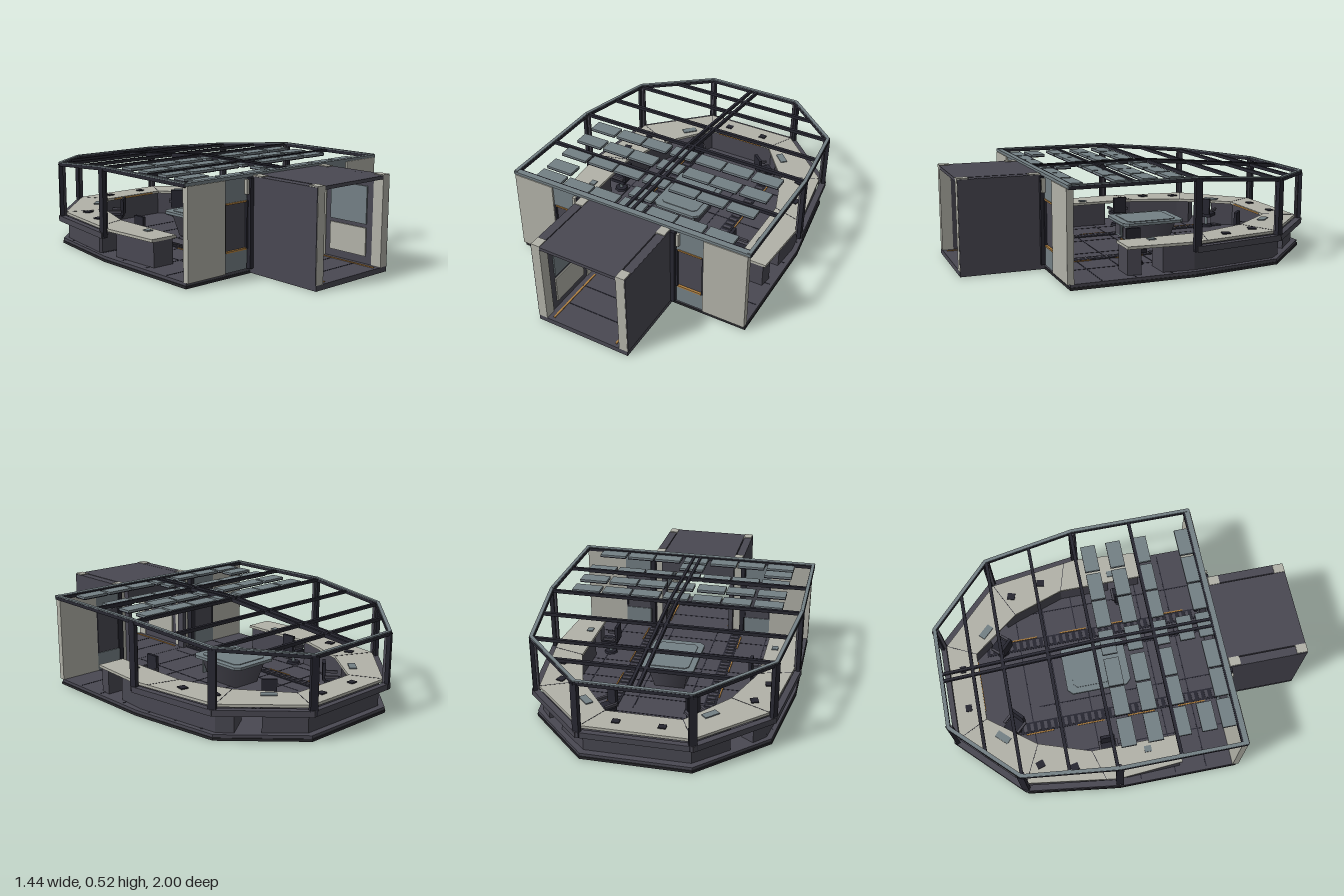
import * as THREE from 'three';

const mat = (name, color) => Object.assign(new THREE.MeshStandardMaterial({ color }), { name });

export function createModel() {
  const root = new THREE.Group();
  root.name = 'controlRoom';
  const light = mat('pale wall grey', 0xb2b2a8);
  const dark = mat('dark slate', 0x494852);
  const blue = mat('blue grey', 0x748085);
  const navy = mat('near black navy', 0x272731);
  const orange = mat('amber strip', 0xb08040);
  const under = mat('underside black', 0x28282c);

  const add = (name, geo, m, parent = root) => {
    const mesh = new THREE.Mesh(geo, m);
    mesh.name = name;
    parent.add(mesh);
    return mesh;
  };
  // box given by its min and max on each axis
  const box = (name, m, x0, x1, y0, y1, z0, z1, parent = root) => {
    const b = add(name, new THREE.BoxGeometry(x1 - x0, y1 - y0, z1 - z0), m, parent);
    b.position.set((x0 + x1) / 2, (y0 + y1) / 2, (z0 + z1) / 2);
    return b;
  };
  // the same box on both sides
  const pair = (name, m, x0, x1, ...r) => {
    box(name, m, x0, x1, ...r);
    box(name, m, -x1, -x0, ...r);
  };
  // bar between two points
  const beam = (name, m, a, b, w, h) => {
    const p = new THREE.Vector3(...a), q = new THREE.Vector3(...b);
    const bar = add(name, new THREE.BoxGeometry(w, h, p.distanceTo(q) + w * 0.4), m);
    bar.position.copy(p).lerp(q, 0.5);
    bar.lookAt(q);
    return bar;
  };
  // flat slab from a plan outline of [x, z] points
  const slab = (name, m, pts, y0, y1) => {
    const shape = new THREE.Shape(pts.map(([x, z]) => new THREE.Vector2(x, -z)));
    const geo = new THREE.ExtrudeGeometry(shape, { depth: y1 - y0, bevelEnabled: false });
    geo.rotateX(-Math.PI / 2);
    return add(name, geo.translate(0, y0, 0), m);
  };
  const flip = (pts) => pts.map(([x, z]) => [-x, z]);
  const mirrorLoop = (pts) => [...pts, ...flip(pts).reverse()];

  // hull plan, +x half, from the entrance to the nose
  const hull = [[0.7, 0.55], [0.7, -0.13], [0.63, -0.645], [0.287, -0.985]];
  const roofY = (z) => (z > -0.14 ? 0.508 : 0.508 - (-0.14 - z) * 0.09);
  const halfWidth = (z) => {
    for (let i = 1; i < hull.length; i++) {
      const [x0, z0] = hull[i - 1], [x1, z1] = hull[i];
      if (z >= z1) return x0 + (x1 - x0) * (z0 - z) / (z0 - z1);
    }
    return 0.287;
  };

  // floor
  slab('floorBase', under, mirrorLoop(hull), 0, 0.014);
  slab('floorDeck', dark, mirrorLoop(hull.map(([x, z]) => [x * 0.995, z * 0.995])), 0.014, 0.03);
  box('corridorFloor', dark, -0.27, 0.27, 0.002, 0.03, 0.55, 1);
  for (const z of [-0.55, -0.38, -0.2, 0, 0.2, 0.38, 0.7, 0.85]) {
    const w = z > 0.55 ? 0.2 : Math.min(0.69, halfWidth(z) - 0.02);
    box('floorSeam', navy, -w, w, 0.03, 0.0315, z - 0.003, z + 0.003);
  }
  for (const x of [0.14, 0.45]) pair('floorSeam', navy, x - 0.003, x + 0.003, 0.03, 0.0315, -0.5, 0.53);

  // floor channels with rungs
  pair('channel', navy, 0.225, 0.29, 0.03, 0.033, -0.75, 0.53);
  for (let z = -0.73; z < 0.52; z += 0.04) pair('channelRung', dark, 0.235, 0.28, 0.033, 0.037, z, z + 0.018);
  for (const z of [-0.6, -0.3, 0, 0.3]) pair('channelStrip', orange, 0.291, 0.298, 0.03, 0.035, z, z + 0.16);
  pair('corridorStrip', orange, 0.185, 0.195, 0.03, 0.034, 0.6, 0.98);

  // entrance wall
  pair('wallPanel', light, 0.457, 0.7, 0.03, 0.505, 0.53, 0.565);
  pair('doorPanelTop', blue, 0.3, 0.457, 0.385, 0.505, 0.53, 0.555);
  pair('doorPanelBottom', blue, 0.3, 0.457, 0.03, 0.135, 0.53, 0.555);
  pair('doorWindow', dark, 0.3, 0.457, 0.135, 0.385, 0.535, 0.546);
  pair('windowJamb', navy, 0.292, 0.305, 0.135, 0.385, 0.53, 0.558);
  pair('windowJamb', navy, 0.447, 0.457, 0.135, 0.385, 0.53, 0.558);
  for (const y of [0.132, 0.378]) pair('windowStrip', orange, 0.308, 0.445, y, y + 0.009, 0.545, 0.559);
  pair('corridorJoint', navy, 0.27, 0.295, 0.03, 0.5, 0.53, 0.575);
  pair('wallLamp', light, 0.305, 0.32, 0.42, 0.495, 0.555, 0.575);
  box('wallCap', blue, -0.71, 0.71, 0.503, 0.52, 0.53, 0.56);

  // corridor
  box('corridorRoof', dark, -0.22, 0.22, 0.49, 0.508, 0.56, 1);
  pair('corridorWall', dark, 0.225, 0.272, 0.03, 0.507, 0.625, 0.94);
  pair('corridorSkin', dark, 0.268, 0.273, 0.03, 0.506, 0.565, 0.998);
  for (const z of [0.565, 0.94]) pair('corridorPillar', light, 0.22, 0.269, 0.03, 0.512, z, z + 0.06);
  pair('corridorInnerPanel', light, 0.218, 0.226, 0.07, 0.22, 0.66, 0.9);
  pair('corridorInnerPanel', blue, 0.218, 0.226, 0.24, 0.44, 0.66, 0.9);
  pair('doorJamb', dark, 0.2, 0.225, 0.03, 0.49, 0.53, 0.58);
  box('doorLintel', dark, -0.2, 0.2, 0.4, 0.5, 0.53, 0.57);
  box('lintelTrim', blue, -0.12, 0.12, 0.484, 0.49, 0.57, 0.576);

  // roof frame, posts and outer ledge
  for (const s of [1, -1]) {
    const rim = hull.map(([x, z]) => [s * (x + 0.002), roofY(z), z]);
    for (let i = 1; i < rim.length; i++) {
      beam('roofRim', navy, rim[i - 1], rim[i], 0.022, 0.018);
      const up = ([x, y, z]) => [x, y + 0.011, z];
      beam('roofRimCap', blue, up(rim[i - 1]), up(rim[i]), 0.019, 0.008);
      const [x, y, z] = rim[i];
      const post = box('post', navy, -0.011, 0.011, 0.135, y, -0.02, 0.02);
      post.position.x = x;
      post.position.z = z;
      post.rotation.y = s * [0, 0.07, 0.45, 1.15][i];
      const fin = box('postFin', dark, -0.006, 0.006, 0.15, y, -0.008, 0.008);
      fin.position.x = x * 0.975;
      fin.position.z = z * 0.985;
      if (i > 1) {
        const low = (p) => [p[0], 0.148, p[2]];
        beam('outerLedge', dark, low(rim[i - 1]), low(rim[i]), 0.034, 0.032);
      }
    }
    for (const [a, b] of [[0.54, -0.14], [-0.14, -0.985]])
      beam('spineBeam', navy, [s * 0.02, roofY(a), a], [s * 0.02, roofY(b), b], 0.015, 0.02);
  }
  beam('noseRim', navy, [-0.287, roofY(-0.985), -0.985], [0.287, roofY(-0.985), -0.985], 0.022, 0.018);
  beam('noseRimCap', blue, [-0.287, roofY(-0.985) + 0.011, -0.985], [0.287, roofY(-0.985) + 0.011, -0.985], 0.019, 0.008);
  beam('noseLedge', dark, [-0.287, 0.148, -0.985], [0.287, 0.148, -0.985], 0.03, 0.032);
  for (const z of [-0.81, -0.64, -0.39, -0.14, 0.2, 0.53])
    beam('crossBeam', navy, [-halfWidth(z), roofY(z), z], [halfWidth(z), roofY(z), z], 0.018, 0.018);

  // ceiling panels, with a sparse fourth row
  [-0.1, 0.045, 0.195, 0.335, 0.445].forEach((z, row) => {
    [-0.515, -0.34, -0.173, 0, 0.173, 0.34, 0.515].forEach((x, col) => {
      if (row === 3 && col !== 0 && col !== 3) return;
      const w = col === 3 ? 0.07 : 0.079;
      box('ceilingPanel', blue, x - w, x + w, 0.5, 0.51, z, z + 0.083);
      box('ceilingPanelFrame', navy, x - w, x + w, 0.494, 0.5, z, z + 0.083);
      if ((row + col) % 2) box('ceilingLight', orange, x - w + 0.015, x + w - 0.015, 0.491, 0.494, z + 0.012, z + 0.07);
    });
  });

  // console counter
  const outer = [[0.66, 0.235], [0.685, -0.13], [0.61, -0.64], [0.28, -0.965]];
  const inner = [[0.5, 0.235], [0.5, -0.25], [0.4, -0.54], [0.2, -0.8]];
  const half = [...outer, [0, -0.965], [0, -0.8], ...inner.slice().reverse()];
  slab('counterRight', light, half, 0.167, 0.182);
  slab('counterLeft', light, flip(half), 0.167, 0.182);

  // console cabinets with knee gaps
  for (const s of [1, -1]) {
    const side = (p) => (s > 0 ? p : flip(p));
    const [g0, g1] = s > 0 ? [0.16, 0.04] : [-0.08, -0.21];
    slab('cabinet', dark, side([[0.645, 0.23], [0.655, g0], [0.52, g0], [0.52, 0.23]]), 0.03, 0.167);
    slab('cabinet', dark, side([[0.655, g1], [0.668, -0.13 + Math.min(0, g1 + 0.12)], [0.6, -0.63],
      [0.54, -0.7], [0.39, -0.6], [0.42, -0.53], [0.515, -0.25], [0.515, g1]]), 0.03, 0.167);
    slab('cabinet', dark, side([[0.44, -0.79], [0.275, -0.945], [0, -0.945], [0, -0.82], [0.21, -0.82], [0.29, -0.71]]), 0.03, 0.167);
    // instruments set on the counter
    for (const [x, z, w, d, a, m] of [[0.118, -0.89, 0.04, 0.035, 0, navy], [0.325, -0.725, 0.085, 0.04, -0.8, blue],
      [0.52, -0.545, 0.04, 0.045, -0.3, navy], [0.572, -0.36, 0.04, 0.045, -0.2, navy], [0.55, 0.06, 0.035, 0.04, 0, blue]]) {
      const pad = add('keypad', new THREE.BoxGeometry(w, 0.006, d), m);
      pad.position.set(s * x, 0.185, z);
      pad.rotation.y = s * a;
    }
    const seam = [[[0.5, -0.25], [0.675, -0.2]], [[0.4, -0.54], [0.61, -0.64]], [[0.2, -0.8], [0.28, -0.96]]];
    for (const [a, b] of seam) beam('counterSeam', navy, [s * a[0], 0.182, a[1]], [s * b[0], 0.182, b[1]], 0.003, 0.002);
  }
  box('consoleStrip', orange, -0.15, 0.15, 0.17, 0.178, -0.8, -0.796);

  // centre table
  const taper = new THREE.CylinderGeometry(0.16, 0.12, 0.13, 4, 1).rotateY(Math.PI / 4);
  const base = add('tableBase', taper.scale(1, 1, 1.25), dark);
  base.position.set(0, 0.095, -0.135);
  const rounded = (w, h, c) => mirrorLoop([[w, h - c], [w, c - h], [w - c, -h]])
    .concat([[c - w, h], [w - c, h]]).map(([x, z]) => [x, z - 0.135]);
  const top = [[0.12, 0.05], [0.148, 0.022], [0.148, -0.292], [0.12, -0.32]];
  slab('tableTop', blue, mirrorLoop(top), 0.16, 0.176);
  slab('tableScreen', blue, rounded(0.115, 0.145, 0.02), 0.176, 0.18);
  for (const x of [-0.06, 0.06]) {
    box('tableFrontFrame', blue, x - 0.045, x + 0.045, 0.065, 0.142, 0.0, 0.008);
    box('tableFrontScreen', dark, x - 0.036, x + 0.036, 0.074, 0.133, 0.007, 0.011);
  }
  box('tableStrip', orange, -0.05, 0.05, 0.042, 0.049, -0.01, 0.002);

  // swivel chairs
  for (const [x, z, turn] of [[0.245, -0.655, 2.4], [-0.245, -0.655, -2.4], [0.44, 0.1, 1.57], [-0.49, -0.15, -1.57]]) {
    const chair = new THREE.Group();
    chair.name = 'chair';
    chair.position.set(x, 0.03, z);
    chair.rotation.y = turn;
    root.add(chair);
    add('chairFoot', new THREE.CylinderGeometry(0.035, 0.04, 0.012, 8), navy, chair).position.y = 0.006;
    add('chairStem', new THREE.CylinderGeometry(0.01, 0.01, 0.06, 8), blue, chair).position.y = 0.04;
    box('chairSeat', navy, -0.042, 0.042, 0.065, 0.085, -0.045, 0.045, chair);
    box('chairBack', navy, -0.04, 0.04, 0.085, 0.182, -0.055, -0.038, chair);
    for (const s of [-1, 1]) box('chairArm', dark, s * 0.048 - 0.007, s * 0.048 + 0.007, 0.1, 0.115, -0.045, 0.03, chair);
  }
  return root;
}
